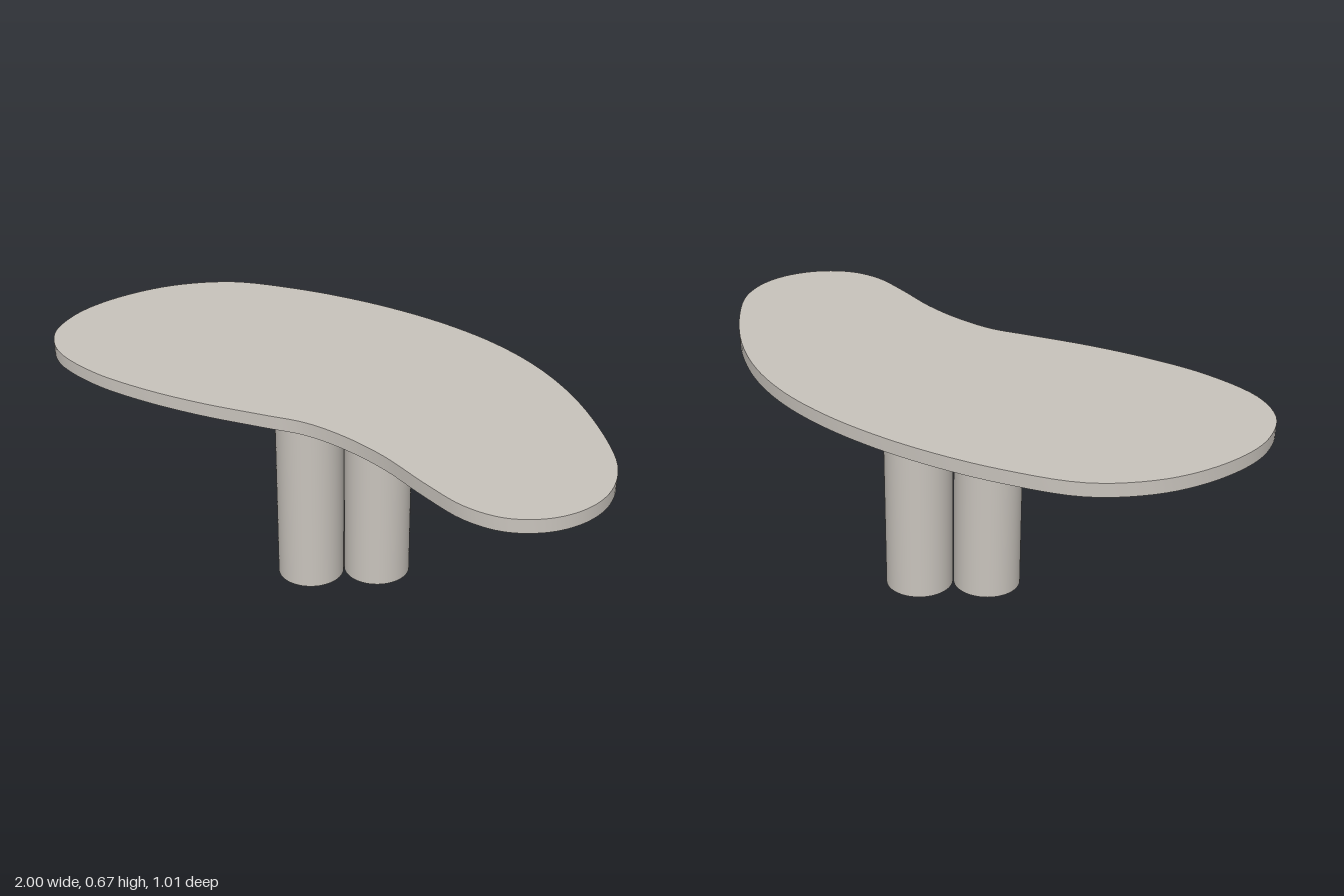
import * as THREE from 'three';
import { toCreasedNormals } from 'three/addons/utils/BufferGeometryUtils.js';

const TOP_Y = 0.672, UNDER_Y = 0.63;

// Kidney outline of the top as x, z pairs
const OUTLINE = [
  [0, -0.51], [0.2, -0.495], [0.4, -0.443], [0.6, -0.347], [0.8, -0.203], [0.93, -0.075], [0.985, 0.03],
  [1, 0.12], [0.985, 0.21], [0.94, 0.29], [0.86, 0.353], [0.75, 0.375], [0.6, 0.352], [0.42, 0.311],
  [0.26, 0.298], [0.12, 0.311], [0, 0.355], [-0.2, 0.427], [-0.4, 0.478], [-0.6, 0.502], [-0.8, 0.476],
  [-0.92, 0.395], [-0.98, 0.28], [-1, 0.16], [-0.98, -0.01], [-0.92, -0.16], [-0.8, -0.3],
  [-0.6, -0.398], [-0.4, -0.46], [-0.2, -0.497],
];

export function createModel() {
  const group = new THREE.Group();
  group.name = 'table';
  const stone = new THREE.MeshStandardMaterial({ name: 'warm grey stone', color: 0xc9c4bd });

  // Table top: smooth closed curve, extruded and laid flat
  const curve = new THREE.CatmullRomCurve3(OUTLINE.map(([x, z]) => new THREE.Vector3(x, -z, 0)), true);
  const shape = new THREE.Shape(curve.getPoints(150).slice(0, -1).map((p) => new THREE.Vector2(p.x, p.y)));
  const slab = new THREE.ExtrudeGeometry(shape, { depth: TOP_Y - UNDER_Y, bevelEnabled: false });
  slab.rotateX(-Math.PI / 2);
  const top = new THREE.Mesh(toCreasedNormals(slab, 0.6), stone);
  top.name = 'tableTop';
  top.position.y = UNDER_Y;
  group.add(top);

  // Pedestal: four touching columns set in a diamond
  const pedestal = new THREE.Group();
  pedestal.name = 'pedestal';
  pedestal.position.set(-0.047, 0, -0.035);
  const column = new THREE.CylinderGeometry(0.106, 0.106, UNDER_Y, 64);
  for (let i = 0; i < 4; i++) {
    const a = (i * Math.PI) / 2;
    const mesh = new THREE.Mesh(column, stone);
    mesh.name = `column${i + 1}`;
    mesh.position.set(0.151 * Math.cos(a), UNDER_Y / 2, 0.151 * Math.sin(a));
    pedestal.add(mesh);
  }
  group.add(pedestal);
  return group;
}
